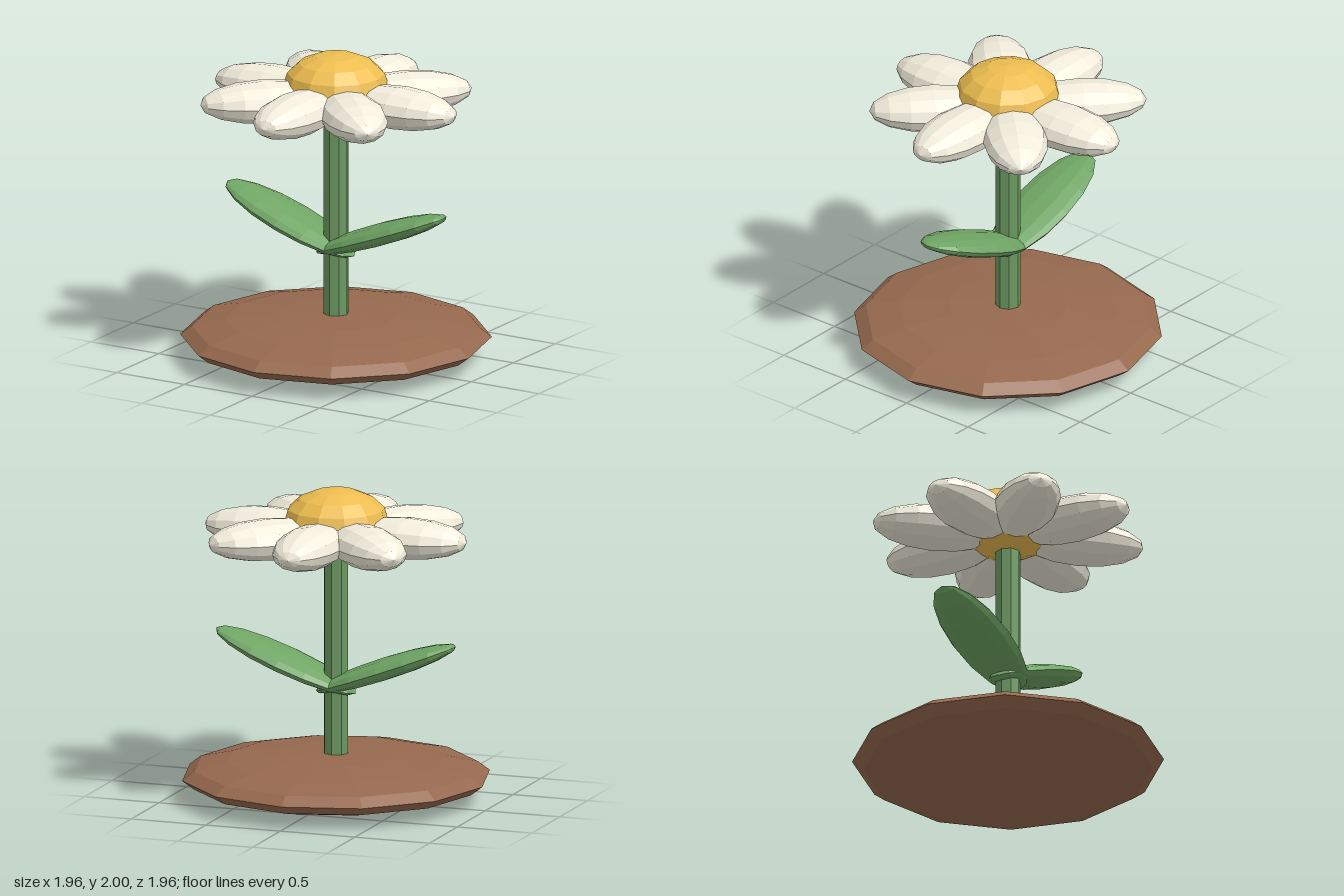
import * as THREE from 'three';

const paint = (color) => new THREE.MeshStandardMaterial({ color, flatShading: true });

// Faceted ellipsoid with its poles on the y axis
function ellipsoid(rx, ry, rz) {
  return new THREE.SphereGeometry(1, 12, 8).scale(rx, ry, rz);
}

// Faceted ellipsoid with its poles on the x axis, for petals and leaves
function blade(length, thickness, width) {
  return new THREE.SphereGeometry(1, 12, 8).rotateZ(-Math.PI / 2).scale(length, thickness, width);
}

function part(parent, name, geometry, material, x = 0, y = 0, z = 0) {
  const mesh = new THREE.Mesh(geometry, material);
  mesh.name = name;
  mesh.position.set(x, y, z);
  parent.add(mesh);
  return mesh;
}

export function createModel() {
  const flower = new THREE.Group();
  flower.name = 'flower';
  const soil = paint(0x96694e);
  const stemGreen = paint(0x6b9860);
  const leafGreen = paint(0x6fa564);
  const white = paint(0xf2eddc);
  const yellow = paint(0xedbd50);

  // Mound of soil
  part(flower, 'soilMound', ellipsoid(0.98, 0.15, 0.98), soil, 0, 0.153, 0);

  // Stem, from inside the mound into the flower centre
  part(flower, 'stem', new THREE.CylinderGeometry(0.08, 0.08, 1.5, 8), stemGreen, 0, 0.95, 0);

  // Two mirrored leaves that cross at the stem
  const leafShape = blade(0.5, 0.07, 0.205);
  for (const side of [1, -1]) {
    const leaf = part(flower, side > 0 ? 'leftLeaf' : 'rightLeaf', leafShape, leafGreen, side * 0.335, 0.867, 0);
    leaf.rotation.z = side * 0.36;
  }

  // Ring of eight petals
  const petals = new THREE.Group();
  petals.name = 'petals';
  flower.add(petals);
  const petalShape = blade(0.405, 0.132, 0.205);
  for (let i = 0; i < 8; i++) {
    const a = (i * Math.PI) / 4;
    const petal = part(petals, 'petal', petalShape, white, 0.47 * Math.cos(a), 1.715, -0.47 * Math.sin(a));
    petal.rotation.y = a;
  }

  // Domed flower centre
  part(flower, 'flowerCentre', ellipsoid(0.333, 0.21, 0.333), yellow, 0, 1.79, 0);

  return flower;
}
